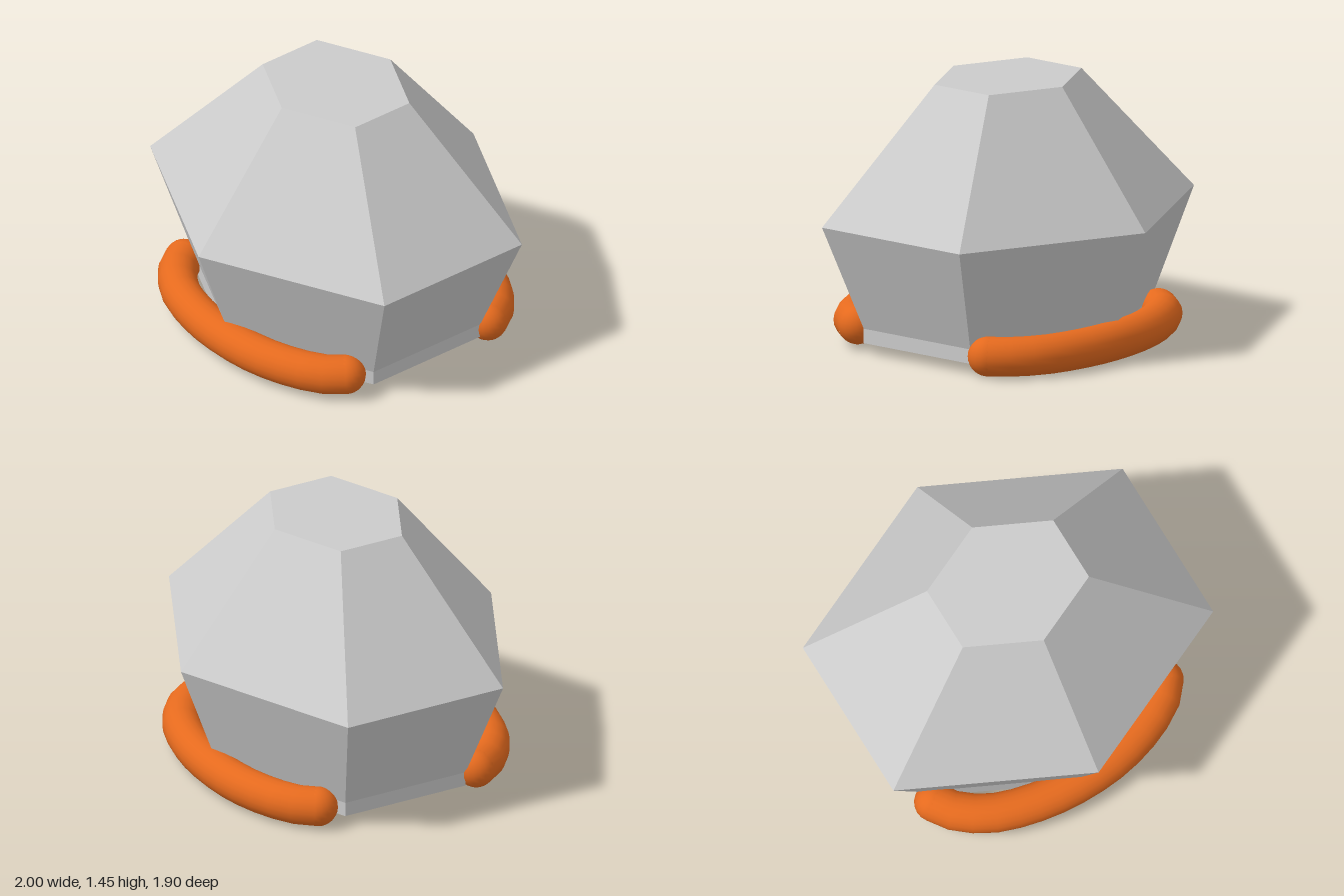
import * as THREE from 'three';

const grey = new THREE.MeshStandardMaterial({ color: 0xcccccc, flatShading: true });
const orange = new THREE.MeshStandardMaterial({ color: 0xe56a1e });
const V = (x, z) => new THREE.Vector3(x, 0, z);

// Round bar bent along a path, with a hemispherical end at each tip
function bentBar(name, y) {
  const R = 0.107;
  const group = new THREE.Group();
  group.name = name;
  const path = new THREE.CatmullRomCurve3([
    V(-0.735, 0.455), V(-0.68, 0.54), V(-0.51, 0.665), V(-0.25, 0.74), V(0, 0.758),
    V(0.23, 0.735), V(0.44, 0.67), V(0.61, 0.575), V(0.685, 0.485),
  ]);
  const bar = new THREE.Mesh(new THREE.TubeGeometry(path, 14, R, 20), orange);
  bar.name = name + 'Bar';
  group.add(bar);
  [0, 1].forEach((t) => {
    const tip = new THREE.Mesh(new THREE.SphereGeometry(R, 20, 14), orange);
    tip.name = name + 'Tip';
    tip.position.copy(path.getPointAt(t));
    group.add(tip);
  });
  group.position.y = y;
  return group;
}

export function createModel() {
  const model = new THREE.Group();
  model.name = 'facetedPod';

  // Six-sided body: upright base band, flaring lower half, tapering upper half, flat top
  const profile = [[0, 0.06], [0.737, 0.06], [0.737, 0.14], [0.95, 0.725], [0.375, 1.445], [0, 1.445]]
    .map(([r, y]) => new THREE.Vector2(r, y));
  const geometry = new THREE.LatheGeometry(profile, 6);
  geometry.scale(1 / (0.95 * Math.sin(Math.PI / 3)), 1, 1);
  const body = new THREE.Mesh(geometry, grey);
  body.name = 'body';
  model.add(body);

  // Curved bumpers at front and back, the back one turned half round
  const front = bentBar('frontBumper', 0.128);
  const back = bentBar('backBumper', 0.107);
  back.rotation.y = Math.PI;
  model.add(front, back);

  return model;
}
